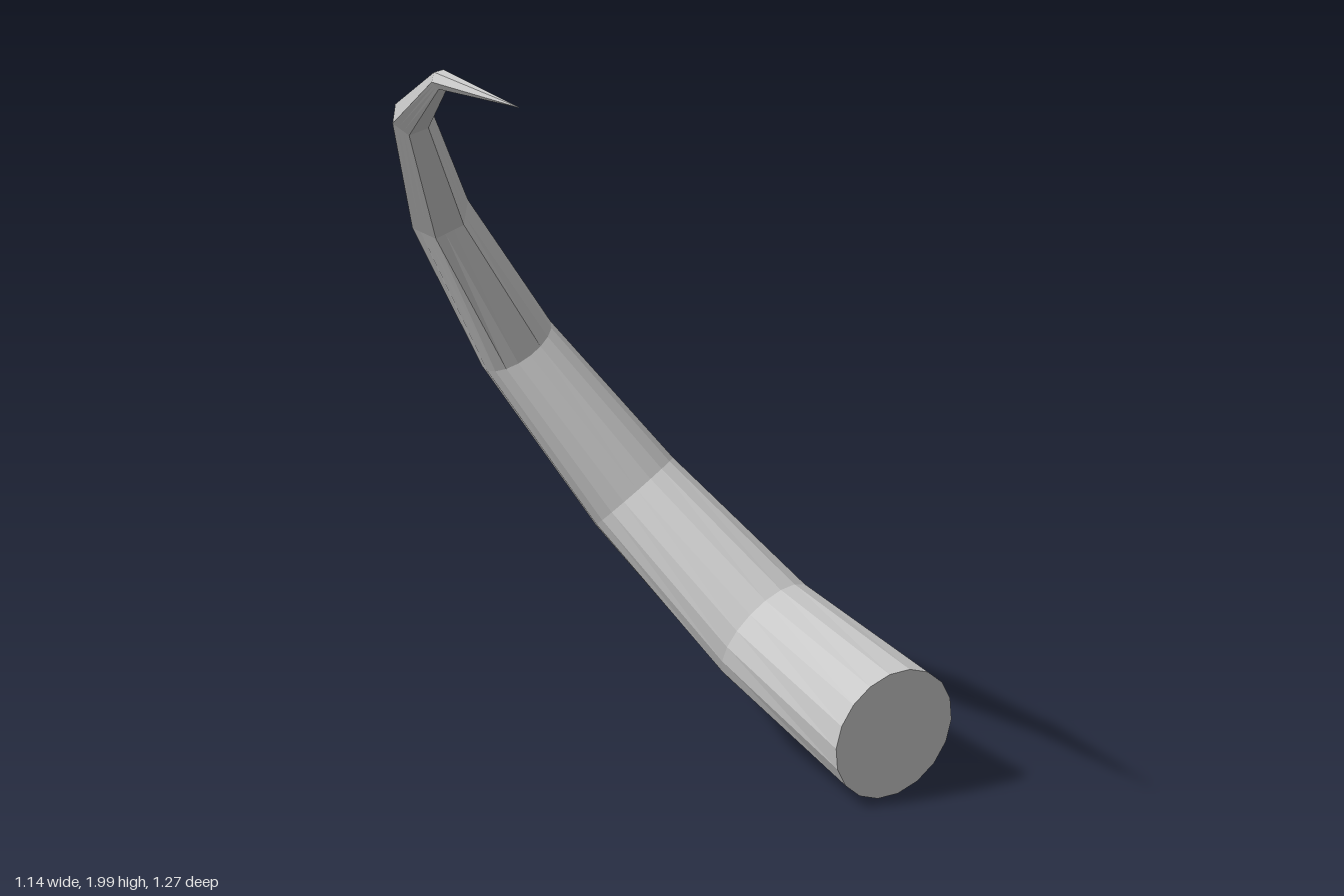
import * as THREE from 'three';

const SIDES = 18;

// spine of the horn: x, y, z, radius
const SPINE = [
  [0.535, 0.17, -0.47, 0.167],
  [0.095, 0.305, -0.49, 0.143],
  [-0.26, 0.582, -0.408, 0.121],
  [-0.47, 0.943, -0.228, 0.096],
  [-0.495, 1.323, 0.0, 0.073],
  [-0.335, 1.68, 0.255, 0.049],
  [-0.012, 1.92, 0.483, 0.024],
  [0.397, 2.0, 0.635, 0.0005],
];
const FIRST_HEX_RING = 4; // from here up the section is six-sided

// distance to the edge of a unit hexagon at a given angle
function hexRadius(angle) {
  const sector = Math.PI / 3;
  return Math.cos(sector / 2) / Math.cos((angle % sector) - sector / 2);
}

function hornGeometry() {
  const points = SPINE.map(([x, y, z]) => new THREE.Vector3(x, y, z));
  const planeNormal = new THREE.Vector3(0, 0.515, -0.857); // plane the horn curls in
  const last = points.length - 1;
  const direction = (i) => points[i + 1].clone().sub(points[i]).normalize();
  const positions = [];
  const index = [];

  // rings, each square to the bisector of its neighbouring segments
  points.forEach((p, i) => {
    let t;
    if (i === 0) t = new THREE.Vector3(-1, 0.15, -0.16).normalize();
    else if (i === last) t = direction(i - 1);
    else t = direction(i - 1).add(direction(i)).normalize();
    const u = t.clone().cross(planeNormal).normalize();
    const v = t.clone().cross(u);
    for (let j = 0; j < SIDES; j++) {
      const a = (j / SIDES) * Math.PI * 2;
      const r = SPINE[i][3] * (i >= FIRST_HEX_RING ? hexRadius(a) : 1);
      const q = p.clone().addScaledVector(u, r * Math.cos(a)).addScaledVector(v, r * Math.sin(a));
      positions.push(q.x, q.y, q.z);
    }
  });

  // walls
  for (let i = 0; i < last; i++) {
    for (let j = 0; j < SIDES; j++) {
      const k = (j + 1) % SIDES;
      const a = i * SIDES + j, b = i * SIDES + k;
      index.push(a, b, b + SIDES, a, b + SIDES, a + SIDES);
    }
  }

  // flat base cap
  const centre = positions.length / 3;
  positions.push(...points[0].toArray());
  for (let j = 0; j < SIDES; j++) index.push(centre, (j + 1) % SIDES, j);

  const geometry = new THREE.BufferGeometry();
  geometry.setAttribute('position', new THREE.Float32BufferAttribute(positions, 3));
  geometry.setIndex(index);
  const flat = geometry.toNonIndexed();
  flat.computeVertexNormals();
  return flat;
}

export function createModel() {
  const group = new THREE.Group();
  group.name = 'curvedHorn';
  const material = new THREE.MeshStandardMaterial({ color: 0xcccccc, flatShading: true });
  const horn = new THREE.Mesh(hornGeometry(), material);
  horn.name = 'horn';
  group.add(horn);
  return group;
}
